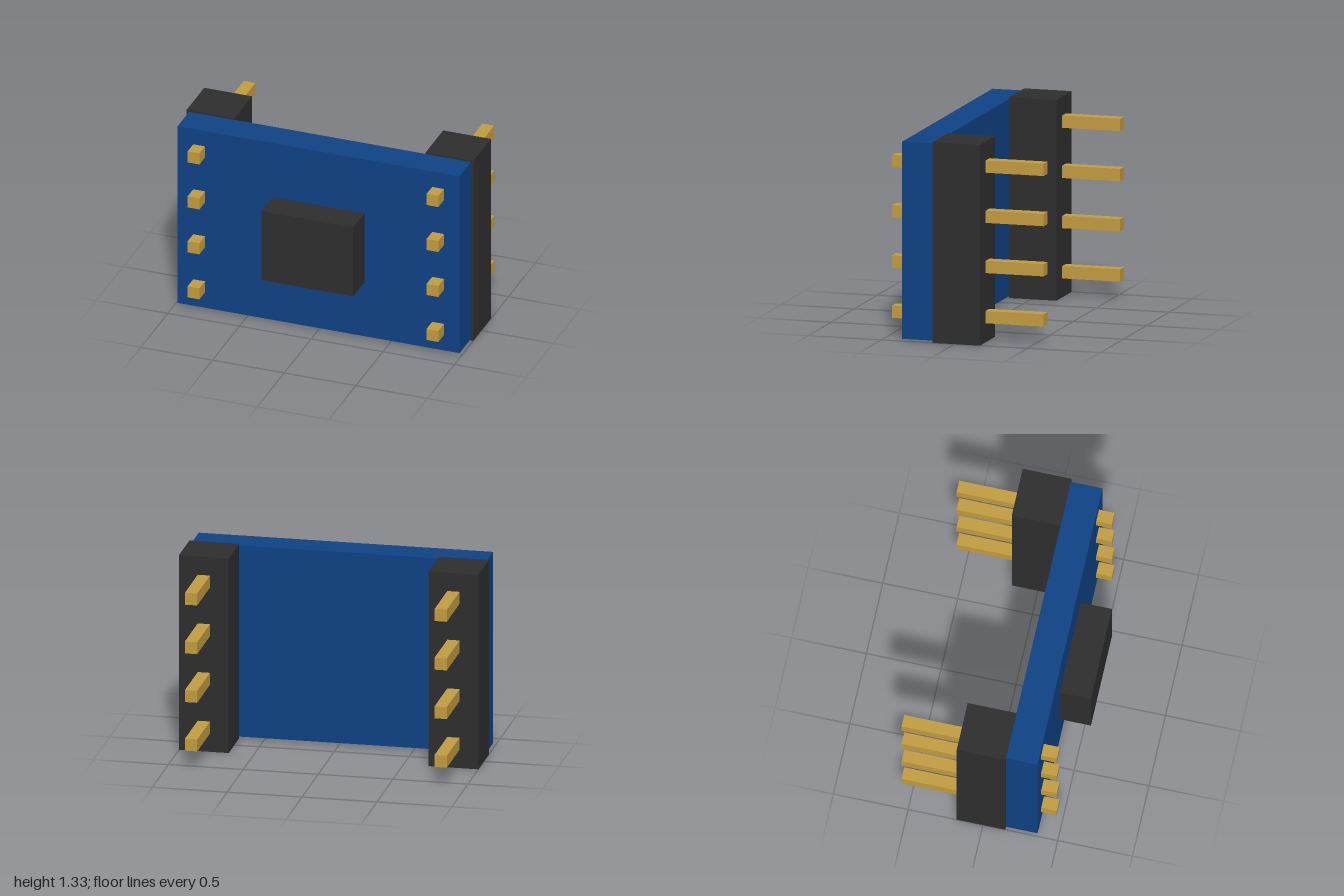
import * as THREE from 'three';

const blue = new THREE.MeshStandardMaterial({ name: 'boardBlue', color: 0x0e4182 });
const black = new THREE.MeshStandardMaterial({ name: 'plasticBlack', color: 0x2d2d2d });
const gold = new THREE.MeshStandardMaterial({ name: 'pinGold', color: 0xbf9a40 });

// Box given by its minimum and maximum corners
function block(name, material, [x0, y0, z0], [x1, y1, z1]) {
  const mesh = new THREE.Mesh(new THREE.BoxGeometry(x1 - x0, y1 - y0, z1 - z0), material);
  mesh.position.set((x0 + x1) / 2, (y0 + y1) / 2, (z0 + z1) / 2);
  mesh.name = name;
  return mesh;
}

export function createModel() {
  const model = new THREE.Group();
  model.name = 'circuitModule';

  // Circuit board and the chip on its front
  model.add(block('board', blue, [-0.983, 0.012, 0.15], [0.983, 1.322, 0.362]));
  model.add(block('chip', black, [-0.32, 0.413, 0.362], [0.32, 0.923, 0.572]));

  // Pin headers behind both sides of the board
  for (const [side, label] of [[1, 'left'], [-1, 'right']]) {
    const header = new THREE.Group();
    header.name = label + 'Header';
    const cx = side * 0.8335, half = 0.1665;
    header.add(block('headerBody', black, [cx - half, 0, -0.175], [cx + half, 1.333, 0.15]));

    // Square pins running through the header and the board
    const r = 0.041;
    for (let i = 0; i < 4; i++) {
      const cy = 0.167 + i / 3;
      header.add(block('pin', gold, [cx - r, cy - r, -0.572], [cx + r, cy + r, 0.466]));
    }
    model.add(header);
  }
  return model;
}
